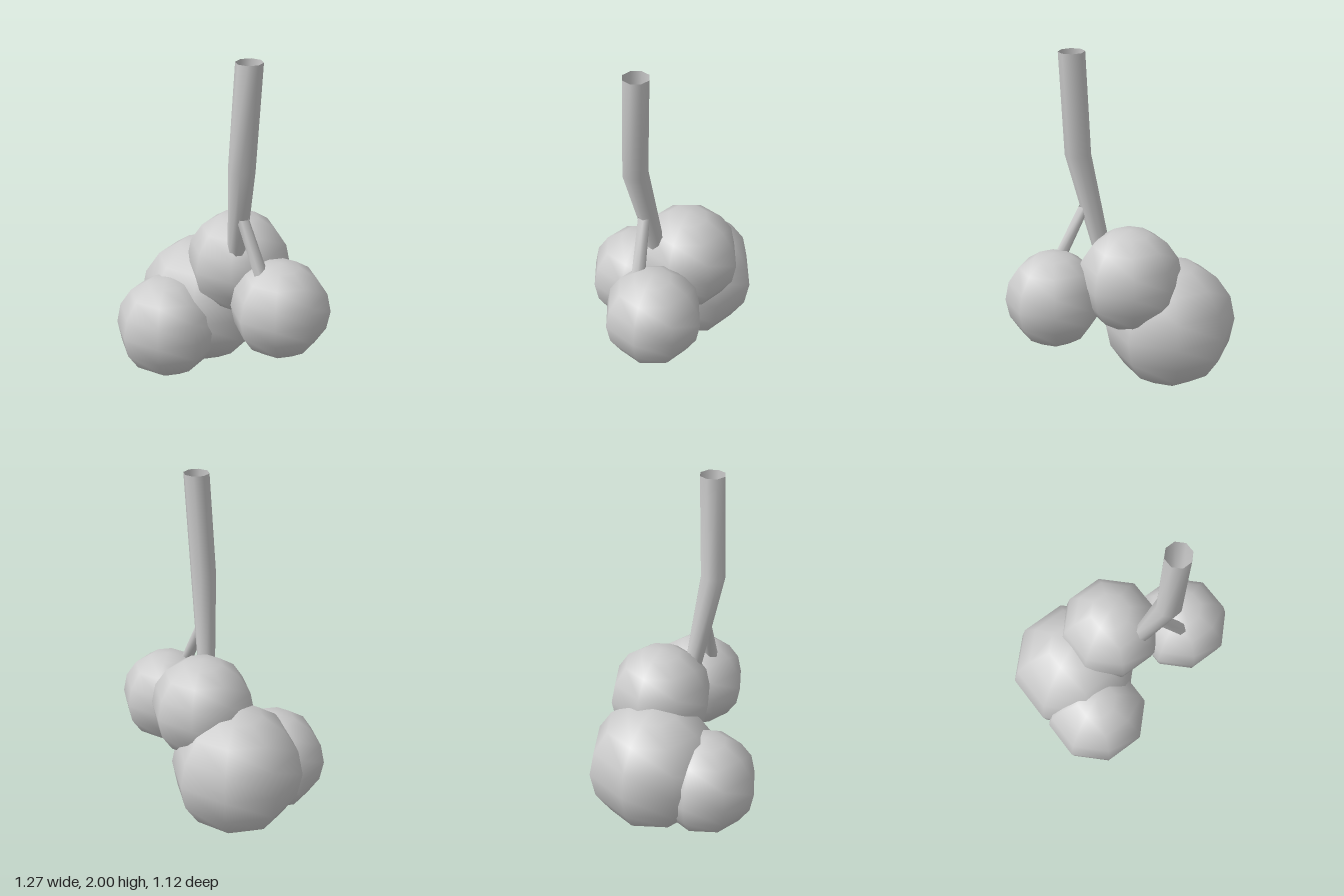
import * as THREE from 'three';

const material = new THREE.MeshStandardMaterial({ color: 0xcccccc });
const openMaterial = new THREE.MeshStandardMaterial({ color: 0xcccccc, side: THREE.DoubleSide });

// Open tube through horizontal rings [x, y, z, radius], listed from bottom to top
function ringTube(rings, sides) {
  const positions = [], index = [];
  for (const [x, y, z, r] of rings) {
    for (let i = 0; i < sides; i++) {
      const a = (i / sides) * Math.PI * 2;
      positions.push(x + r * Math.sin(a), y, z + r * Math.cos(a));
    }
  }
  for (let j = 0; j < rings.length - 1; j++) {
    for (let i = 0; i < sides; i++) {
      const a = j * sides + i, b = j * sides + (i + 1) % sides;
      index.push(a, b, b + sides, a, b + sides, a + sides);
    }
  }
  const geometry = new THREE.BufferGeometry();
  geometry.setAttribute('position', new THREE.Float32BufferAttribute(positions, 3));
  geometry.setIndex(index);
  geometry.computeVertexNormals();
  return geometry;
}

export function createModel() {
  const model = new THREE.Group();
  model.name = 'berryCluster';

  const add = (name, geometry, mat) => {
    const mesh = new THREE.Mesh(geometry, mat);
    mesh.name = name;
    model.add(mesh);
    return mesh;
  };

  // Berries: x, y, z, radius
  const berries = {
    berryLarge: [-0.155, 0.387, -0.177, 0.385],
    berryTop: [0.07, 0.705, -0.055, 0.303],
    berryFrontRight: [-0.332, 0.32, 0.085, 0.305],
    berryFrontLeft: [0.353, 0.583, 0.278, 0.282],
  };
  for (const [name, [x, y, z, r]] of Object.entries(berries)) {
    add(name, new THREE.SphereGeometry(r, 8, 8), material).position.set(x, y, z);
  }

  // Main stem, bent and widening upward, with an open end
  add('stem', ringTube([
    [0.085, 0.82, 0.14, 0.05],
    [0.13, 1.4, 0.28, 0.075],
    [0.167, 2, 0.28, 0.075],
  ], 8), openMaterial);

  // Side stalk to the front left berry
  add('stalk', ringTube([
    [0.253, 0.79, 0.325, 0.042],
    [0.13, 1.1, 0.235, 0.036],
  ], 6), openMaterial);

  return model;
}
